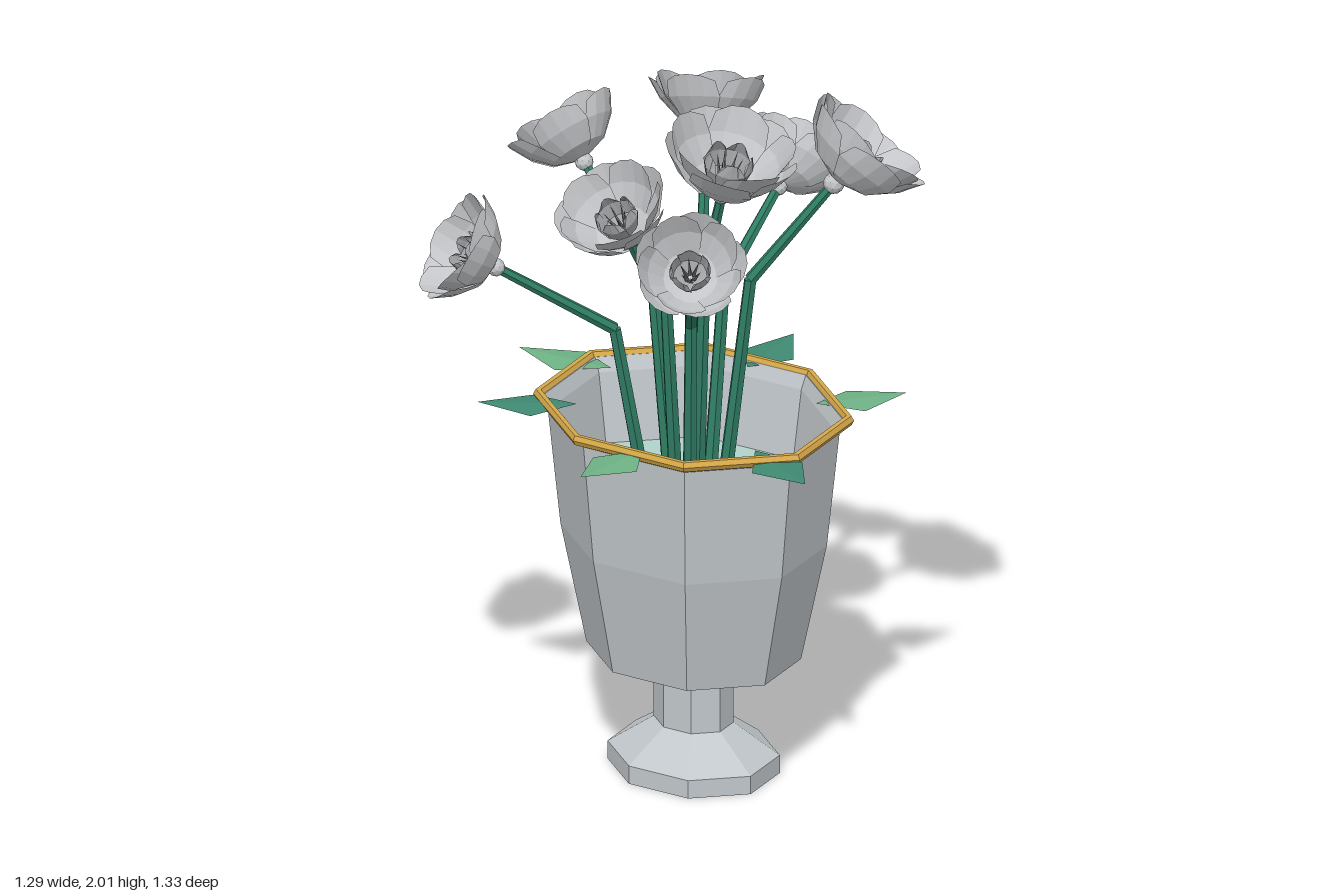
import * as THREE from 'three';

const mat = (name, color, side = THREE.FrontSide) => {
  const m = new THREE.MeshStandardMaterial({ color, side });
  m.name = name;
  return m;
};

// Splits shared corners so every facet is flat
const flat = (g) => {
  const f = g.index ? g.toNonIndexed() : g;
  f.computeVertexNormals();
  return f;
};

// Ring of cupped petals; rows are [radius, height, half angle]
function petalRing(count, turn, rows, drop) {
  const pos = [], idx = [], cols = 5;
  for (let p = 0; p < count; p++) {
    const base = pos.length / 3;
    const a0 = turn + (p / count) * Math.PI * 2;
    rows.forEach(([r, y, half], k) => {
      for (let j = 0; j < cols; j++) {
        const u = (j / (cols - 1)) * 2 - 1;
        const last = k === rows.length - 1;
        const cut = last ? 1 - drop * u * u : 1;
        const a = a0 + u * half;
        const rr = r * cut * (1 + 0.04 * u);
        pos.push(Math.sin(a) * rr, y * (last ? 1 - drop * 1.4 * u * u : 1), Math.cos(a) * rr);
      }
    });
    for (let k = 0; k < rows.length - 1; k++) {
      for (let j = 0; j < cols - 1; j++) {
        const a = base + k * cols + j, b = a + 1, c = a + cols, d = c + 1;
        idx.push(a, b, d, a, d, c);
      }
    }
  }
  const g = new THREE.BufferGeometry();
  g.setAttribute('position', new THREE.Float32BufferAttribute(pos, 3));
  g.setIndex(idx);
  return flat(g);
}

export function createModel() {
  const root = new THREE.Group();
  root.name = 'flowerVase';
  const stone = mat('vaseGrey', 0xc2c8cc);
  const gold = mat('rimGold', 0xd6a94a);
  const water = mat('waterTeal', 0xb2d3cb);
  const green = mat('stemGreen', 0x2f7d64);
  const leafDark = mat('leafTeal', 0x3f8a72, THREE.DoubleSide);
  const leafLight = mat('leafGreen', 0x6fb285, THREE.DoubleSide);
  const petal = mat('petalGrey', 0xc3c5c8, THREE.DoubleSide);
  const heart = mat('heartGrey', 0xa4a6a9, THREE.DoubleSide);
  const dark = mat('stamenGrey', 0x77787b);

  const add = (parent, name, geo, material) => {
    const m = new THREE.Mesh(geo, material);
    m.name = name;
    parent.add(m);
    return m;
  };

  // Octagonal vase, slightly narrower front to back
  const vase = new THREE.Group();
  vase.name = 'vase';
  vase.position.set(0.023, 0, -0.027);
  root.add(vase);
  const profile = [
    [0, 0], [0.263, 0], [0.263, 0.053], [0.122, 0.14], [0.122, 0.28], [0.328, 0.345],
    [0.407, 0.69], [0.447, 1.04], [0.478, 1.065], [0.455, 1.07], [0.437, 1.03], [0.4, 0.8],
  ].map(([x, y]) => new THREE.Vector2(x, y));
  const shrink = (g) => flat(g.scale(1, 1, 0.85));
  add(vase, 'vaseBody', shrink(new THREE.LatheGeometry(profile, 8)), stone);
  add(vase, 'goldRim', shrink(new THREE.TorusGeometry(0.474, 0.016, 6, 8).rotateX(Math.PI / 2).translate(0, 1.068, 0)), gold);
  add(vase, 'water', shrink(new THREE.CircleGeometry(0.408, 8).rotateX(-Math.PI / 2).translate(0, 0.83, 0)), water);

  // Diamond leaves lying across the rim: [middle x, z, tip x, z]
  [
    [0.505, 0.045, 0.66, 0.065], [0.217, 0.39, 0.246, 0.53], [-0.27, 0.31, -0.37, 0.425],
    [-0.47, 0.03, -0.625, 0.09], [-0.18, -0.435, -0.25, -0.575], [0.24, -0.425, 0.285, -0.565],
  ].forEach(([mx, mz, tx, tz], i) => {
    const dx = tx - mx, dz = tz - mz, k = 0.08 / Math.hypot(dx, dz);
    const g = new THREE.BufferGeometry();
    g.setAttribute('position', new THREE.Float32BufferAttribute([
      mx - dx * 0.8, 1.068, mz - dz * 0.8,
      mx - dz * k, 1.06, mz + dx * k,
      tx, 1.066, tz,
      mx + dz * k, 1.06, mz - dx * k,
    ], 3));
    g.setIndex([0, 1, 2, 0, 2, 3]);
    add(root, 'leaf', flat(g), i % 2 ? leafLight : leafDark);
  });

  // Shared flower parts, opening along +y with the calyx at the origin
  const parts = [
    ['calyx', flat(new THREE.IcosahedronGeometry(0.027, 1)), petal],
    ['outerPetals', petalRing(5, 0, [[0.015, 0.01, 0.7], [0.085, 0.035, 0.7], [0.135, 0.085, 0.64], [0.17, 0.145, 0.5]], 0.08), petal],
    ['middlePetals', petalRing(5, Math.PI / 5, [[0.015, 0.015, 0.7], [0.08, 0.042, 0.7], [0.127, 0.095, 0.64], [0.158, 0.16, 0.5]], 0.08), petal],
    ['innerPetals', petalRing(5, 0.3, [[0.015, 0.03, 0.7], [0.05, 0.05, 0.7], [0.062, 0.09, 0.64], [0.055, 0.125, 0.45]], 0.08), heart],
  ];
  const stamen = flat(new THREE.ConeGeometry(0.007, 0.085, 4).translate(0, 0.0425, 0));

  const up = new THREE.Vector3(0, 1, 0);
  const rod = (parent, name, a, b, r0, r1) => {
    const d = b.clone().sub(a);
    const m = add(parent, name, flat(new THREE.CylinderGeometry(r1, r0, d.length(), 6)), green);
    m.position.copy(a).addScaledVector(d, 0.5);
    m.quaternion.setFromUnitVectors(up, d.normalize());
  };

  // Bent stems with flowers: base [x, z], knee, calyx, flower scale
  [
    [[-0.05, 0.08], [-0.09, 1.31, 0.16], [-0.245, 1.515, 0.455], 0.97],
    [[-0.06, -0.01], [-0.13, 1.41, 0.0], [-0.386, 1.685, 0.045], 0.97],
    [[0, -0.055], [-0.03, 1.49, -0.095], [-0.143, 1.8, -0.195], 0.98],
    [[-0.015, -0.11], [-0.07, 1.36, -0.2], [-0.165, 1.56, -0.46], 0.95],
    [[0.06, -0.1], [0.1, 1.44, -0.165], [0.205, 1.71, -0.375], 1.13],
    [[0.055, -0.015], [0.09, 1.5, -0.015], [0.17, 1.755, -0.015], 1.12],
    [[0.035, 0.04], [0.055, 1.4, 0.09], [0.095, 1.665, 0.255], 0.97],
    [[0.12, 0.06], [0.16, 1.385, 0.085], [0.372, 1.62, 0.245], 0.93],
  ].forEach(([[bx, bz], k, c, size], i) => {
    const plant = new THREE.Group();
    plant.name = 'flowerStem';
    root.add(plant);
    const base = new THREE.Vector3(bx, 0.8, bz);
    const knee = new THREE.Vector3(...k), end = new THREE.Vector3(...c);
    rod(plant, 'lowerStem', base, knee, 0.021, 0.018);
    rod(plant, 'upperStem', knee, end, 0.018, 0.014);

    const flower = new THREE.Group();
    flower.name = 'flower';
    flower.position.copy(end);
    flower.scale.setScalar(size);
    flower.quaternion.setFromUnitVectors(up, end.clone().sub(knee).normalize());
    flower.rotateY(i * 0.9);
    plant.add(flower);
    parts.forEach(([name, geo, m]) => add(flower, name, geo, m));
    for (let s = 0; s < 6; s++) {
      const m = add(flower, 'stamen', stamen, dark);
      const a = (s / 6) * Math.PI * 2;
      m.position.set(Math.sin(a) * 0.012, 0.035, Math.cos(a) * 0.012);
      m.rotation.set(Math.cos(a) * 0.25, 0, -Math.sin(a) * 0.25);
    }
  });
  return root;
}
